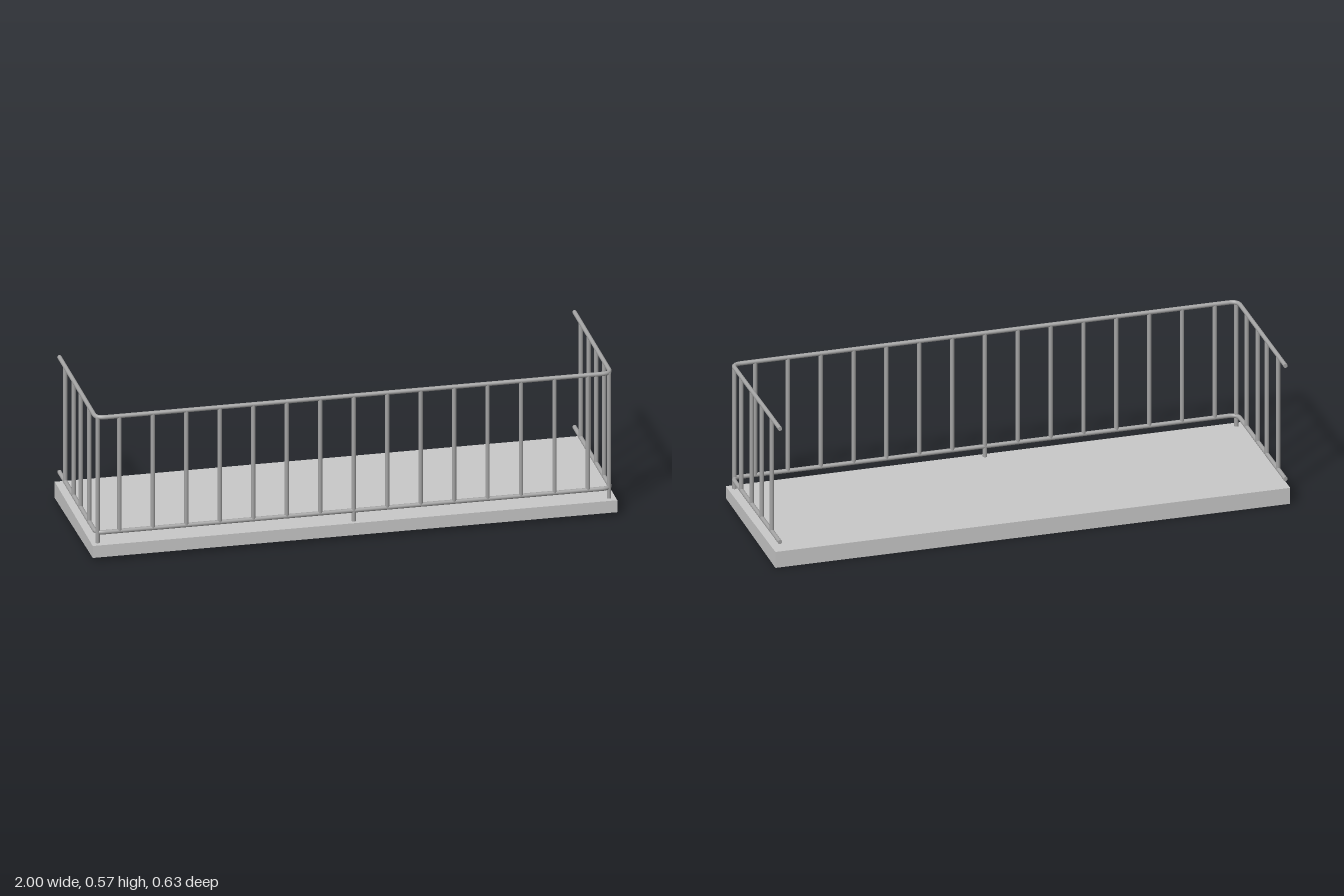
import * as THREE from 'three';

const R = 0.0083;              // pipe radius
const SIDE = 0.982;            // x of the side rails
const FRONT = 0.294;           // z of the front rail
const BACK = -0.317;           // open rear end
const TOP = 0.5645, LOW = 0.103; // rail heights
const BEND = 0.035;            // corner radius

export function createModel() {
  const model = new THREE.Group();
  const concrete = new THREE.MeshStandardMaterial({ color: 0xc8c8c8 });
  concrete.name = 'concrete';
  const metal = new THREE.MeshStandardMaterial({ color: 0xa4a4a4 });
  metal.name = 'grey metal';

  // straight pipe between two points
  function pipe(name, a, b, parent) {
    const from = new THREE.Vector3(...a), to = new THREE.Vector3(...b);
    const dir = to.clone().sub(from);
    const mesh = new THREE.Mesh(new THREE.CylinderGeometry(R, R, dir.length(), 16), metal);
    mesh.position.copy(from).add(to).multiplyScalar(0.5);
    mesh.quaternion.setFromUnitVectors(new THREE.Vector3(0, 1, 0), dir.normalize());
    mesh.name = name;
    parent.add(mesh);
  }

  // slab, thinner towards the front; profile drawn as (-z, y)
  const profile = new THREE.Shape([
    [-0.317, 0.013], [0.317, 0], [0.317, 0.065], [-0.317, 0.061],
  ].map(([x, y]) => new THREE.Vector2(x, y)));
  const slabGeometry = new THREE.ExtrudeGeometry(profile, { depth: 2, bevelEnabled: false });
  slabGeometry.translate(0, 0, -1).rotateY(Math.PI / 2);
  const slab = new THREE.Mesh(slabGeometry, concrete);
  slab.name = 'floorSlab';
  model.add(slab);

  // U-shaped rails with bent corners
  for (const [name, y] of [['topRail', TOP], ['bottomRail', LOW]]) {
    const rail = new THREE.Group();
    rail.name = name;
    pipe('frontRun', [-SIDE + BEND, y, FRONT], [SIDE - BEND, y, FRONT], rail);
    for (const s of [-1, 1]) {
      pipe('sideRun', [s * SIDE, y, BACK], [s * SIDE, y, FRONT - BEND], rail);
      const bend = new THREE.QuadraticBezierCurve3(
        new THREE.Vector3(s * SIDE, y, FRONT - BEND),
        new THREE.Vector3(s * SIDE, y, FRONT),
        new THREE.Vector3(s * (SIDE - BEND), y, FRONT));
      const corner = new THREE.Mesh(new THREE.TubeGeometry(bend, 8, R, 16), metal);
      corner.name = 'cornerBend';
      rail.add(corner);
    }
    model.add(rail);
  }

  // front balusters
  const balusters = new THREE.Group();
  balusters.name = 'balusters';
  for (let i = -7; i <= 7; i++) {
    const x = i * 0.1276;
    pipe('frontBaluster', [x, LOW, FRONT], [x, TOP, FRONT], balusters);
  }
  // side balusters, spaced slightly differently on each side
  const spacing = { 1: [0.177, 0.046, -0.083, -0.212], '-1': [0.18, 0.036, -0.079, -0.221] };
  for (const s of [-1, 1]) {
    for (const z of spacing[s]) pipe('sideBaluster', [s * SIDE, LOW, z], [s * SIDE, TOP, z], balusters);
  }
  model.add(balusters);

  // corner posts and the short middle foot
  for (const s of [-1, 1]) pipe('cornerPost', [s * 0.975, 0.055, 0.288], [s * 0.975, TOP, 0.288], model);
  pipe('middleFoot', [0, 0.055, FRONT], [0, LOW, FRONT], model);

  return model;
}
